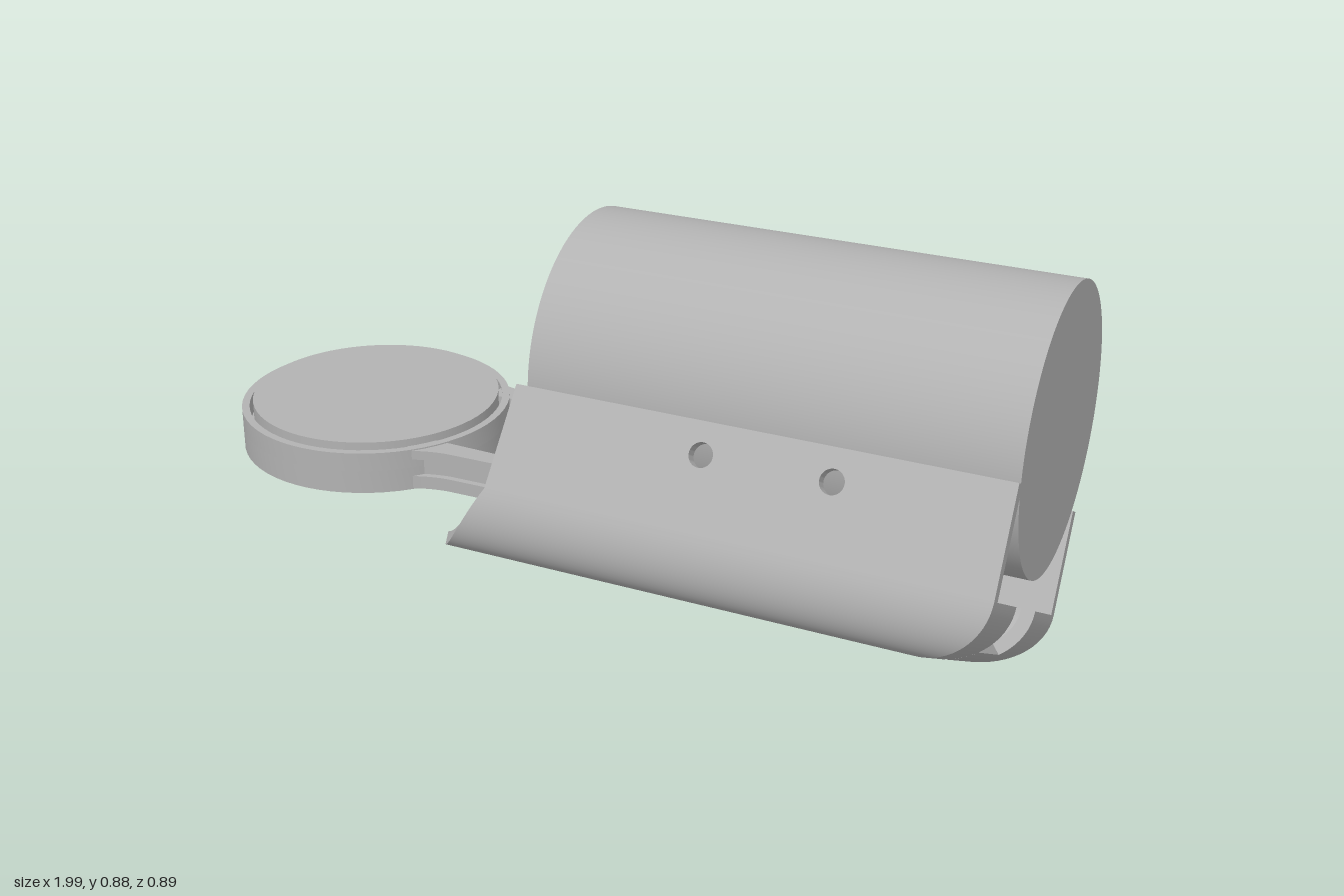
import * as THREE from 'three';
import { toCreasedNormals } from 'three/addons/utils/BufferGeometryUtils.js';

const grey = new THREE.MeshStandardMaterial({ color: 0xb2b2b2, side: THREE.DoubleSide });
grey.name = 'plain grey';

function add(parent, name, geometry) {
  const mesh = new THREE.Mesh(geometry, grey);
  mesh.name = name;
  parent.add(mesh);
  return mesh;
}

const shapeOf = pts => new THREE.Shape(pts.map(p => new THREE.Vector2(p[0], p[1])));

function circle(x, y, r) {
  const path = new THREE.Path();
  path.absarc(x, y, r, 0, Math.PI * 2, true);
  return path;
}

function extrude(shape, depth) {
  return toCreasedNormals(
    new THREE.ExtrudeGeometry(shape, { depth, bevelEnabled: false, curveSegments: 32 }), 0.5);
}

// Extrudes an (x, z) plan between two heights
function slab(shape, bottom, top) {
  return extrude(shape, top - bottom).rotateX(Math.PI / 2).translate(0, top, 0);
}

// Closed curved plate: point(s, t, inset) gives the outer (0) and inner (1) skins
function shell(point, n = 16) {
  const pos = [], idx = [], row = n + 1, skin = row * row;
  for (let k = 0; k < 2; k++)
    for (let i = 0; i <= n; i++)
      for (let j = 0; j <= n; j++) pos.push(...point(i / n, j / n, k));
  const quad = (a, b, c, d) => idx.push(a, b, c, a, c, d);
  for (let i = 0; i < n; i++) {
    for (let j = 0; j < n; j++) {
      const a = i * row + j;
      quad(a, a + 1, a + row + 1, a + row);
      quad(skin + a, skin + a + row, skin + a + row + 1, skin + a + 1);
    }
    const e = n * row;
    quad(i, skin + i, skin + i + 1, i + 1);
    quad(e + i, e + i + 1, skin + e + i + 1, skin + e + i);
    const l = i * row, r = l + n;
    quad(l, l + row, skin + l + row, skin + l);
    quad(r, skin + r, skin + r + row, r + row);
  }
  const g = new THREE.BufferGeometry();
  g.setAttribute('position', new THREE.Float32BufferAttribute(pos, 3));
  g.setIndex(idx);
  return toCreasedNormals(g, 0.6);
}

// Cradle dimensions, measured from the cylinder axis
const HALF = 0.315, T = 0.03, FLOOR = -0.52, RISE = 0.14, TOP = -0.145;
const END = 0.55, BEND = 0.16, START = -0.724;
const FRONT_R = 0.11, BACK_R = 0.14;

function buildCradle() {
  const cradle = new THREE.Group();
  cradle.name = 'cradle';
  const wallFoot = FLOOR + RISE;

  // Side walls with two screw holes each
  const frontShape = shapeOf([[-0.58, wallFoot], [END, wallFoot], [END, TOP], [-0.56, TOP]]);
  const backShape = new THREE.Shape();
  backShape.moveTo(START, wallFoot);
  backShape.lineTo(END, wallFoot);
  backShape.lineTo(END, TOP);
  backShape.lineTo(START + 0.04, TOP);
  backShape.quadraticCurveTo(START, TOP, START, TOP - 0.04);
  for (const s of [frontShape, backShape])
    for (const x of [-0.108, 0.18]) s.holes.push(circle(x, -0.216, 0.027));
  add(cradle, 'front wall', extrude(frontShape, T)).position.z = HALF - T;
  add(cradle, 'back wall', extrude(backShape, T)).position.z = -HALF;

  // Floor with a tapering window
  const uFront = HALF - FRONT_R, uBack = -HALF + BACK_R;
  const floor = shapeOf([[START, uBack], [END - BEND, uBack], [END - BEND, uFront], [-0.7, uFront]]);
  const win = [[-0.54, 0.19], [0.29, 0.175], [0.31, -0.07], [-0.54, -0.145]];
  const path = new THREE.Path();
  win.forEach((p, i) => {
    const a = new THREE.Vector2(...p);
    const before = a.clone().lerp(new THREE.Vector2(...win[(i + 3) % 4]), 0.12);
    const after = a.clone().lerp(new THREE.Vector2(...win[(i + 1) % 4]), i % 2 ? 0.12 : 0.05);
    if (i) path.lineTo(before.x, before.y); else path.moveTo(before.x, before.y);
    path.quadraticCurveTo(a.x, a.y, after.x, after.y);
  });
  path.closePath();
  floor.holes.push(path);
  add(cradle, 'floor', slab(floor, FLOOR, FLOOR + T));

  // Rounded corners between floor and walls, mitred into the end lip
  const corner = (side, r, startAt) => shell((s, t, k) => {
    const a = s * Math.PI / 2, x0 = startAt(s), x1 = END - BEND + (BEND - k * T) * Math.sin(a);
    return [x0 + (x1 - x0) * t,
      FLOOR + RISE - (RISE - k * T) * Math.cos(a),
      side * (HALF - r + (r - k * T) * Math.sin(a))];
  });
  add(cradle, 'front corner', corner(1, FRONT_R, s => -0.7 + 0.12 * s));
  add(cradle, 'back corner', corner(-1, BACK_R, () => START));

  // End lip curving up from the floor: two tabs with a low notch between
  const lip = (sweep, u0, u1) => shell((s, t, k) => {
    const a = s * sweep, lo = u0(a, k), hi = u1(a, k);
    return [END - BEND + (BEND - k * T) * Math.sin(a),
      FLOOR + RISE - (RISE - k * T) * Math.cos(a),
      lo + (hi - lo) * t];
  });
  const edge = (side, r) => (a, k) => side * (HALF - r + (r - k * T) * Math.sin(a));
  add(cradle, 'front lip tab', lip(Math.PI / 2, () => 0.1, edge(1, FRONT_R)));
  add(cradle, 'back lip tab', lip(Math.PI / 2, edge(-1, BACK_R), () => -0.1));
  add(cradle, 'lip notch', lip(0.7, () => -0.1, () => 0.1));
  return cradle;
}

function buildHolder() {
  const holder = new THREE.Group();
  holder.name = 'round holder';
  holder.position.set(-0.678, 0, 0.085);

  // Base with central opening, four screw holes and a pin hole
  const base = new THREE.Shape().absarc(0, 0, 0.322, 0, Math.PI * 2);
  base.holes.push(circle(0, 0, 0.165), circle(-0.243, 0, 0.018));
  for (let i = 0; i < 4; i++) {
    const a = Math.PI / 4 + i * Math.PI / 2;
    base.holes.push(circle(0.245 * Math.cos(a), 0.245 * Math.sin(a), 0.05));
  }
  add(holder, 'holder base', slab(base, 0.255, 0.31));

  // Rim around the disc
  const rim = new THREE.Shape().absarc(0, 0, 0.322, 0, Math.PI * 2);
  rim.holes.push(circle(0, 0, 0.304));
  add(holder, 'holder rim', slab(rim, 0.31, 0.355));

  const disc = new THREE.CylinderGeometry(0.295, 0.295, 0.06, 72);
  add(holder, 'disc', disc).position.y = 0.34;
  return holder;
}

// Forked bracket joining the holder to the cylinder
function bracketShape(inset) {
  const s = new THREE.Shape();
  s.moveTo(-0.45, -0.135 + inset);
  s.quadraticCurveTo(-0.4, -0.125 + inset, -0.35, -0.125 + inset);
  s.lineTo(-0.08, -0.145 + inset);
  s.lineTo(-0.06, 0.235 - inset);
  s.lineTo(-0.35, 0.262 - inset);
  s.quadraticCurveTo(-0.4, 0.27 - inset, -0.45, 0.3 - inset);
  s.lineTo(-0.45, 0.215);
  s.lineTo(-0.2, 0.203);
  s.quadraticCurveTo(-0.13, 0.195, -0.125, 0.12);
  s.lineTo(-0.13, 0);
  s.quadraticCurveTo(-0.14, -0.075, -0.2, -0.08);
  s.lineTo(-0.45, -0.07);
  return s;
}

export function createModel() {
  const model = new THREE.Group();
  model.name = 'cylinder mount';

  // Cylinder and cradle share a slightly yawed axis; the cradle is tilted about it
  const body = new THREE.Group();
  body.name = 'body';
  body.position.set(0.41, 0.56, -0.08);
  body.rotation.y = 0.0735;
  const can = new THREE.CylinderGeometry(0.32, 0.32, 1.094, 96).rotateZ(Math.PI / 2);
  add(body, 'cylinder', can);
  const cradle = buildCradle();
  cradle.rotation.x = -Math.PI / 6;
  body.add(cradle);
  model.add(body, buildHolder());

  const bracket = new THREE.Group();
  bracket.name = 'bracket';
  add(bracket, 'bracket lower flange', slab(bracketShape(0), 0.257, 0.288));
  add(bracket, 'bracket web', slab(bracketShape(0.015), 0.288, 0.33));
  add(bracket, 'bracket upper flange', slab(bracketShape(0), 0.33, 0.352));
  model.add(bracket);
  return model;
}
